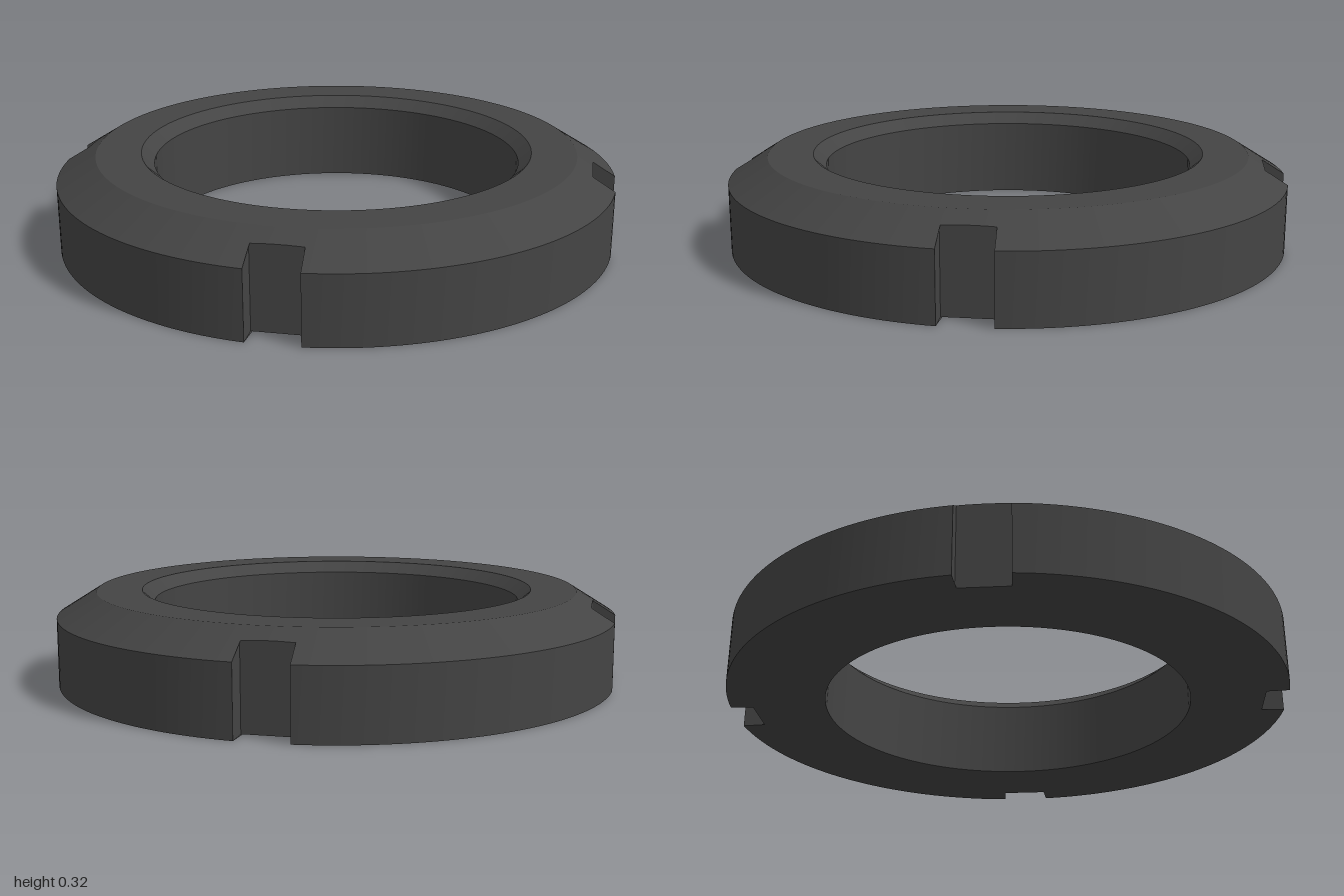
import * as THREE from 'three';
import { toCreasedNormals } from 'three/addons/utils/BufferGeometryUtils.js';

const HEIGHT = 0.325;
const BORE = 0.655, BORE_RIM = 0.70;     // bore and its chamfered mouth
const SHOULDER = 0.86, SHOULDER_Y = 0.238; // top bevel
const SLOT_HALF = 0.088, SLOT_FLOOR = 0.916; // four spanner slots
const ARC_STEPS = 40, FLOOR_STEPS = 6;

// Height of the bevelled outer edge at radius r
const bevelY = (r) => THREE.MathUtils.mapLinear(r, SHOULDER, 1, HEIGHT, SHOULDER_Y);

// Stations around the ring: angle of the inner rings, angle and radius of the outer wall
function ringStations() {
  const stations = [];
  const edge = Math.asin(SLOT_HALF);                // slot mouth corner
  const corner = Math.atan(SLOT_HALF / SLOT_FLOOR); // slot floor corner
  for (let k = 0; k < 4; k++) {
    const slot = Math.PI / 4 + k * Math.PI / 2;
    // flat slot floor
    for (let i = 0; i <= FLOOR_STEPS; i++) {
      const across = SLOT_HALF * (2 * i / FLOOR_STEPS - 1);
      const a = slot + Math.atan(across / SLOT_FLOOR);
      stations.push({ inner: a, outer: a, radius: Math.hypot(across, SLOT_FLOOR) });
    }
    // round wall up to the next slot; the parallel slot sides join the two
    for (let i = 0; i <= ARC_STEPS; i++) {
      const t = i / ARC_STEPS;
      const between = (m) => slot + m + t * (Math.PI / 2 - 2 * m);
      stations.push({ inner: between(corner), outer: between(edge), radius: 1 });
    }
  }
  return stations;
}

// Closed cross-section at one station
function section({ inner, outer, radius }) {
  const at = (r, y, a) => new THREE.Vector3(r * Math.sin(a), y, r * Math.cos(a));
  return [
    at(BORE, 0, inner),
    at(radius, 0, outer),
    at(radius, bevelY(radius), outer),
    at(SHOULDER, HEIGHT, inner),
    at(BORE_RIM, HEIGHT, inner),
    at(BORE, HEIGHT - 0.04, inner),
  ];
}

function slottedRing() {
  const sections = ringStations().map(section);
  const positions = [];
  const triangle = (a, b, c) => {
    if (new THREE.Triangle(a, b, c).getArea() < 1e-8) return; // collapsed at slot sides
    for (const p of [a, b, c]) positions.push(p.x, p.y, p.z);
  };
  sections.forEach((s, i) => {
    const n = sections[(i + 1) % sections.length];
    s.forEach((p, j) => {
      const k = (j + 1) % s.length;
      triangle(p, n[j], n[k]);
      triangle(p, n[k], s[k]);
    });
  });
  const geometry = new THREE.BufferGeometry();
  geometry.setAttribute('position', new THREE.Float32BufferAttribute(positions, 3));
  return toCreasedNormals(geometry, 0.4);
}

export function createModel() {
  const group = new THREE.Group();
  group.name = 'slottedRingNut';
  const ring = new THREE.Mesh(slottedRing(), new THREE.MeshStandardMaterial({ color: 0x444444 }));
  ring.name = 'slottedRing';
  group.add(ring);
  return group;
}
